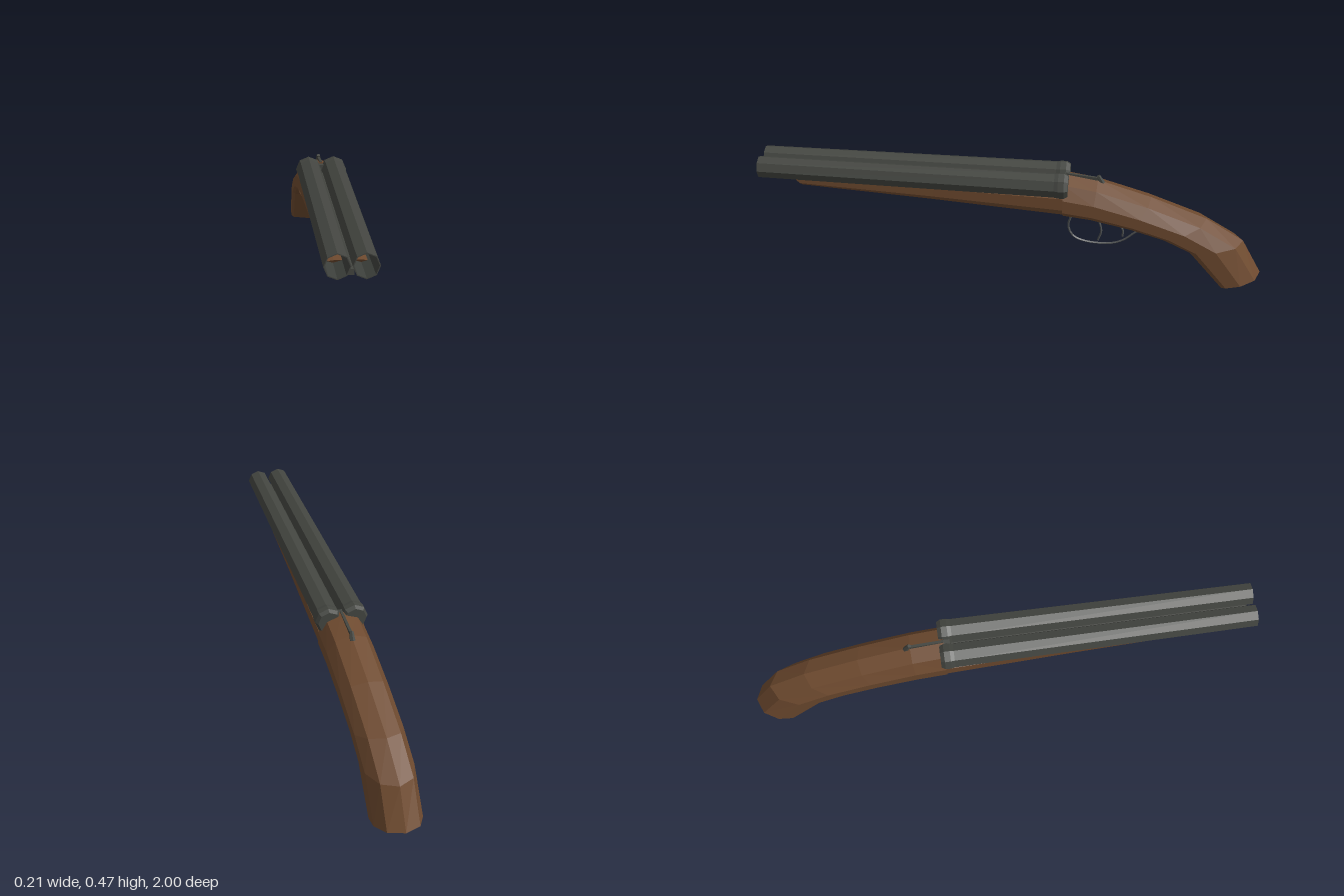
import * as THREE from 'three';

const mat = (name, color) => {
  const m = new THREE.MeshStandardMaterial({ color });
  m.name = name;
  return m;
};

// split the faces so that every facet is flat
const flat = (geo) => {
  const g = geo.index ? geo.toNonIndexed() : geo;
  g.computeVertexNormals();
  return g;
};

// loft mirrored half sections [x, fraction] between bottom and top points [z, y]
function loft(half, stations) {
  const ring = [...half, ...half.slice(1, -1).reverse().map(([x, f]) => [-x, f])];
  const n = ring.length, pos = [], idx = [];
  for (const { b, t, w = 1 } of stations)
    for (const [x, f] of ring)
      pos.push(x * w, b[1] + (t[1] - b[1]) * f, b[0] + (t[0] - b[0]) * f);
  for (let s = 0; s < stations.length - 1; s++)
    for (let i = 0; i < n; i++) {
      const a = s * n + i, c = s * n + (i + 1) % n;
      idx.push(a, a + n, c, c, a + n, c + n);
    }
  const last = (stations.length - 1) * n;
  for (let i = 1; i < n - 1; i++) {
    idx.push(0, i, i + 1);
    idx.push(last, last + i + 1, last + i);
  }
  const g = new THREE.BufferGeometry();
  g.setAttribute('position', new THREE.Float32BufferAttribute(pos, 3));
  g.setIndex(idx);
  return flat(g);
}

export function createModel() {
  const group = new THREE.Group();
  const wood = mat('walnut', 0x6e4a2f);
  const steel = mat('dark steel', 0x434540);
  const bore = mat('bore steel', 0x3c3f3b);
  bore.side = THREE.DoubleSide;
  const guardMat = mat('guard steel', 0x4c4f50);
  const triggerMat = mat('trigger steel', 0x8c8c8a);
  triggerMat.side = THREE.DoubleSide;
  const red = mat('shell red', 0xa03a28);

  const add = (name, geo, material, x = 0, y = 0, z = 0) => {
    const m = new THREE.Mesh(geo, material);
    m.name = name;
    m.position.set(x, y, z);
    group.add(m);
    return m;
  };

  // curved grip stock with a ridge above and below
  add('stock', loft(
    [[0, 0], [0.08, 0.1], [0.09, 0.2], [0.09, 0.53], [0.06, 0.86], [0, 1]],
    [
      { b: [-0.21, 0.285], t: [-0.21, 0.446] },
      { b: [-0.32, 0.273], t: [-0.34, 0.425] },
      { b: [-0.47, 0.243], t: [-0.55, 0.362] },
      { b: [-0.59, 0.21], t: [-0.77, 0.28] },
      { b: [-0.69, 0.165], t: [-0.92, 0.19] },
      { b: [-0.83, 0.01], t: [-1.0, 0.05] },
      { b: [-0.88, 0.0], t: [-0.92, 0.012], w: 0.45 },
    ]), wood);

  // fore-end tapering towards the muzzle
  add('foreEnd', loft(
    [[0, 0], [0.08, 0.2], [0.09, 0.42], [0.09, 0.9], [0.06, 1], [0, 1]],
    [
      { b: [0.82, 0.352], t: [0.86, 0.395], w: 0.75 },
      { b: [0.3, 0.32], t: [0.3, 0.393], w: 0.86 },
      { b: [-0.21, 0.285], t: [-0.21, 0.39] },
    ]), wood);

  // octagonal barrels with a breech collar, spreading slightly to the rear
  const profile = [[0, -0.228], [0.043, -0.228], [0.052, -0.213], [0.052, -0.19],
    [0.049, -0.175], [0.044, 1]].map(([r, z]) => new THREE.Vector2(r, z));
  for (const side of [1, -1]) {
    const name = side > 0 ? 'left' : 'right';
    const cx = side * 0.046, cy = 0.423;
    const tube = new THREE.LatheGeometry(profile, 8).rotateX(Math.PI / 2);
    const p = tube.attributes.position;
    for (let i = 0; i < p.count; i++) {
      const k = (1 - p.getZ(i)) / 1.2;
      p.setXYZ(i, p.getX(i) + side * 0.005 * k, p.getY(i) - 0.006 * k, p.getZ(i));
    }
    add(name + 'Barrel', flat(tube), steel, cx, cy);
    add(name + 'Bore', flat(new THREE.CylinderGeometry(0.0405, 0.0405, 1.1, 8, 1, true)
      .rotateX(Math.PI / 2)), bore, cx, cy, 0.45);
    add(name + 'Muzzle', new THREE.RingGeometry(0.0405, 0.044, 8, 1, Math.PI / 2), steel, cx, cy, 1);
    add(name + 'Shell', new THREE.CircleGeometry(0.0405, 8, Math.PI / 2), red, cx, cy, -0.09);
  }

  // rib joining the barrels and the breech block behind it
  add('barrelRib', new THREE.BoxGeometry(0.02, 0.02, 1.17), steel, 0, 0.397, 0.395);
  add('breechBlock', new THREE.BoxGeometry(0.07, 0.06, 0.04), steel, 0, 0.41, -0.205);

  // opening lever on top of the wrist
  const stem = add('leverStem', new THREE.BoxGeometry(0.01, 0.012, 0.13), steel, 0, 0.436, -0.275);
  stem.rotation.x = -0.1;
  const thumb = add('leverThumb', flat(new THREE.CylinderGeometry(0.008, 0.012, 0.04, 6)), steel, 0, 0.425, -0.35);
  thumb.rotation.x = 0.5;

  // bent wire parts, points given as [z, y]
  const wire = (name, pts, r, material) => {
    const path = new THREE.CatmullRomCurve3(pts.map(([z, y]) => new THREE.Vector3(0, y, z)));
    add(name, flat(new THREE.TubeGeometry(path, 24, r, 4)), material);
  };
  wire('triggerGuard', [[-0.28, 0.285], [-0.245, 0.26], [-0.23, 0.21], [-0.25, 0.165], [-0.3, 0.143],
    [-0.4, 0.14], [-0.45, 0.158], [-0.5, 0.2], [-0.56, 0.235]], 0.0045, guardMat);
  wire('frontTrigger', [[-0.325, 0.28], [-0.35, 0.24], [-0.362, 0.195], [-0.35, 0.15]], 0.004, guardMat);
  wire('rearTrigger', [[-0.4, 0.25], [-0.43, 0.23], [-0.447, 0.205], [-0.447, 0.175]], 0.004, guardMat);

  // pale plate from which the triggers hang
  const plate = new THREE.Shape([[0.32, 0.28], [0.335, 0.255], [0.36, 0.237], [0.42, 0.24], [0.43, 0.265]]
    .map(([z, y]) => new THREE.Vector2(z, y)));
  add('triggerPlate', new THREE.ExtrudeGeometry(plate, { depth: 0.006, bevelEnabled: false })
    .rotateY(Math.PI / 2), triggerMat, -0.003);
  return group;
}
